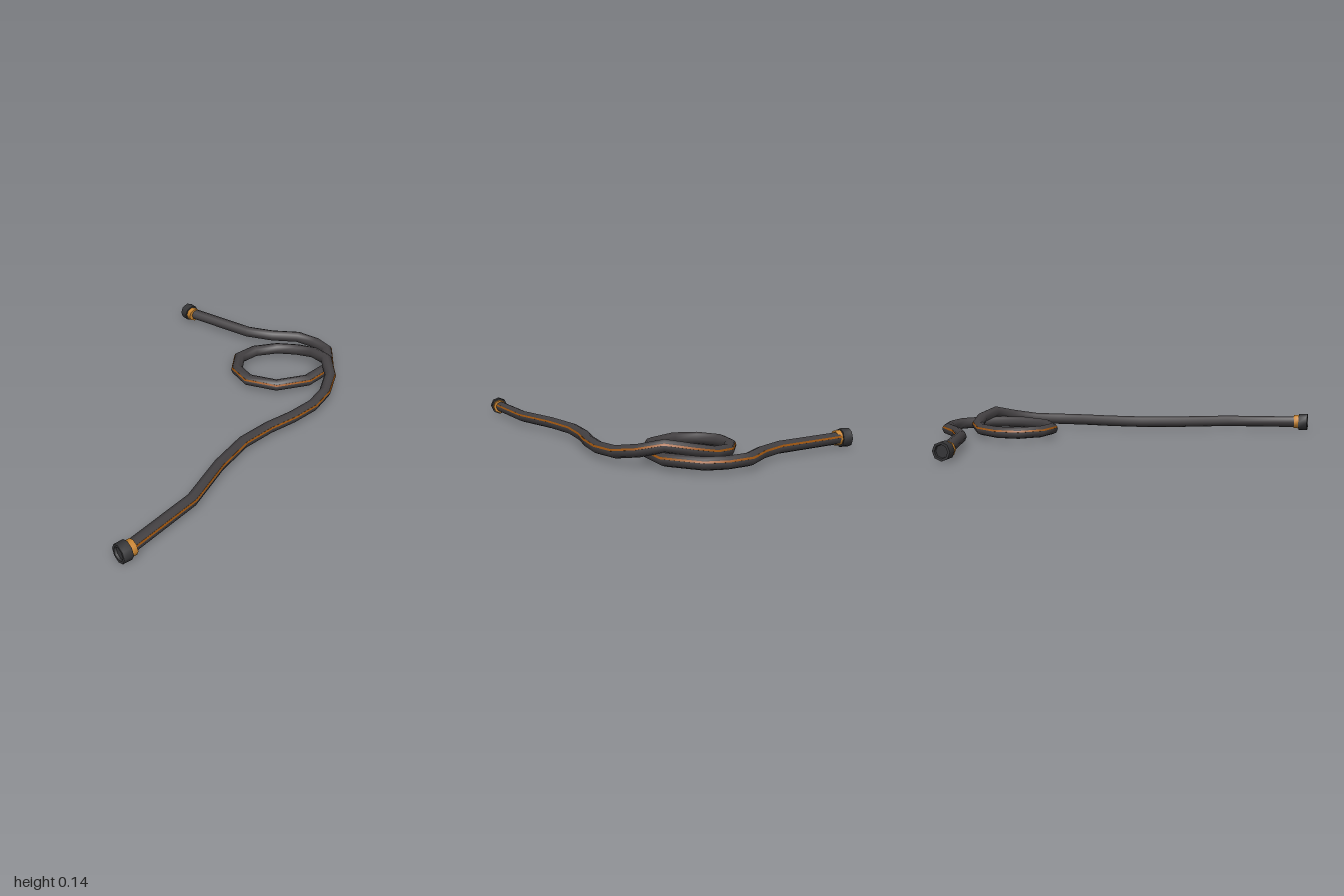
import * as THREE from 'three';
import { toCreasedNormals } from 'three/addons/utils/BufferGeometryUtils.js';

const hoseMat = new THREE.MeshStandardMaterial({ color: 0x434042 });
hoseMat.name = 'charcoal rubber';
const capMat = new THREE.MeshStandardMaterial({ color: 0x353537 });
capMat.name = 'dark coupling';
const brassMat = new THREE.MeshStandardMaterial({ color: 0xc98530 });
brassMat.name = 'brass';
const stripeMat = new THREE.MeshStandardMaterial({ color: 0xa0560f });
stripeMat.name = 'burnt orange';

const Y = 0.05; // height of the hose centre line on the ground
const R = 0.032; // hose radius

// Centre line as [x, z, y]; y is given only where the hose crosses over itself
const path = [
  [-0.96, 0.775], [-0.525, 0.685], [-0.26, 0.56], [-0.04, 0.487], [0.15, 0.47],
  [0.32, 0.475], [0.48, 0.462], [0.62, 0.415, 0.055], [0.74, 0.335, 0.08],
  [0.81, 0.23, 0.11], [0.835, 0.105, 0.088], [0.81, -0.01, 0.063], [0.735, -0.11, 0.052],
  [0.61, -0.17], [0.485, -0.165], [0.39, -0.075], [0.37, 0.05], [0.46, 0.19],
  [0.635, 0.26], [0.83, 0.235], [0.96, 0.09], [0.97, -0.015], [0.935, -0.135],
  [0.82, -0.245], [0.73, -0.375], [0.6, -0.79],
].map(([x, z, y = Y]) => new THREE.Vector3(x, y, z));

// Sweep a closed profile of [side, up] points along the path with mitred joints
function sweep(profile) {
  const up = new THREE.Vector3(0, 1, 0);
  const pos = [], idx = [], n = profile.length;
  path.forEach((p, i) => {
    const next = path[Math.min(i + 1, path.length - 1)];
    const prev = path[Math.max(i - 1, 0)];
    const a = p.clone().sub(prev).normalize();
    const b = next.clone().sub(p).normalize();
    const t = a.clone().add(b).normalize();
    const miter = 1 / Math.max(t.dot(i ? a : b), 0.7);
    const side = t.clone().cross(up).normalize();
    const top = side.clone().cross(t);
    for (const [s, u] of profile) {
      const v = p.clone().addScaledVector(side, s * miter).addScaledVector(top, u);
      pos.push(v.x, v.y, v.z);
    }
    if (i === path.length - 1) return;
    for (let j = 0; j < n; j++) {
      const k = (j + 1) % n, q = i * n;
      idx.push(q + j, q + n + j, q + n + k, q + j, q + n + k, q + k);
    }
  });
  const g = new THREE.BufferGeometry();
  g.setAttribute('position', new THREE.Float32BufferAttribute(pos, 3));
  g.setIndex(idx);
  g.computeVertexNormals();
  return g;
}

function mesh(name, geometry, material) {
  const m = new THREE.Mesh(geometry, material);
  m.name = name;
  return m;
}

// Lathed ring or cap, pointing outwards along +y
function turned(points) {
  const g = new THREE.LatheGeometry(points.map(([r, y]) => new THREE.Vector2(r, y)), 8);
  return toCreasedNormals(g, 0.9);
}

// Brass collar and dark cap with a shallow socket; the end face lies at local y = 0
function coupling(name) {
  const g = new THREE.Group();
  g.name = name;
  g.add(mesh('collar', turned([[0, -0.08], [0.04, -0.08], [0.04, -0.045], [0, -0.045]]), brassMat));
  g.add(mesh('cap', turned([
    [0, -0.05], [0.049, -0.05], [0.049, 0], [0.036, 0], [0.034, -0.012], [0, -0.012],
  ]), capMat));
  return g;
}

export function createModel() {
  const model = new THREE.Group();
  model.name = 'hose';

  // Hose body, eight-sided
  const ring = [];
  for (let i = 0; i < 8; i++) {
    const a = (i / 8) * Math.PI * 2;
    ring.push([Math.cos(a) * R, Math.sin(a) * R]);
  }
  model.add(mesh('hoseBody', sweep(ring), hoseMat));

  // Thin stripe centred on the facet just above the outer side
  const tilt = Math.PI / 8, face = R * Math.cos(tilt);
  const slab = [[-0.003, -0.005], [0.0015, -0.005], [0.0015, 0.005], [-0.003, 0.005]].map(([d, w]) => [
    (face + d) * Math.cos(tilt) - w * Math.sin(tilt),
    (face + d) * Math.sin(tilt) + w * Math.cos(tilt),
  ]);
  model.add(mesh('stripe', toCreasedNormals(sweep(slab), 0.9), stripeMat));

  // Couplings at both ends
  const left = coupling('frontCoupling');
  left.position.set(-1, Y, 0.775);
  left.rotation.z = Math.PI / 2;
  const back = coupling('backCoupling');
  back.position.set(0.6, Y, -0.83);
  back.rotation.x = -Math.PI / 2;
  model.add(left, back);

  return model;
}
